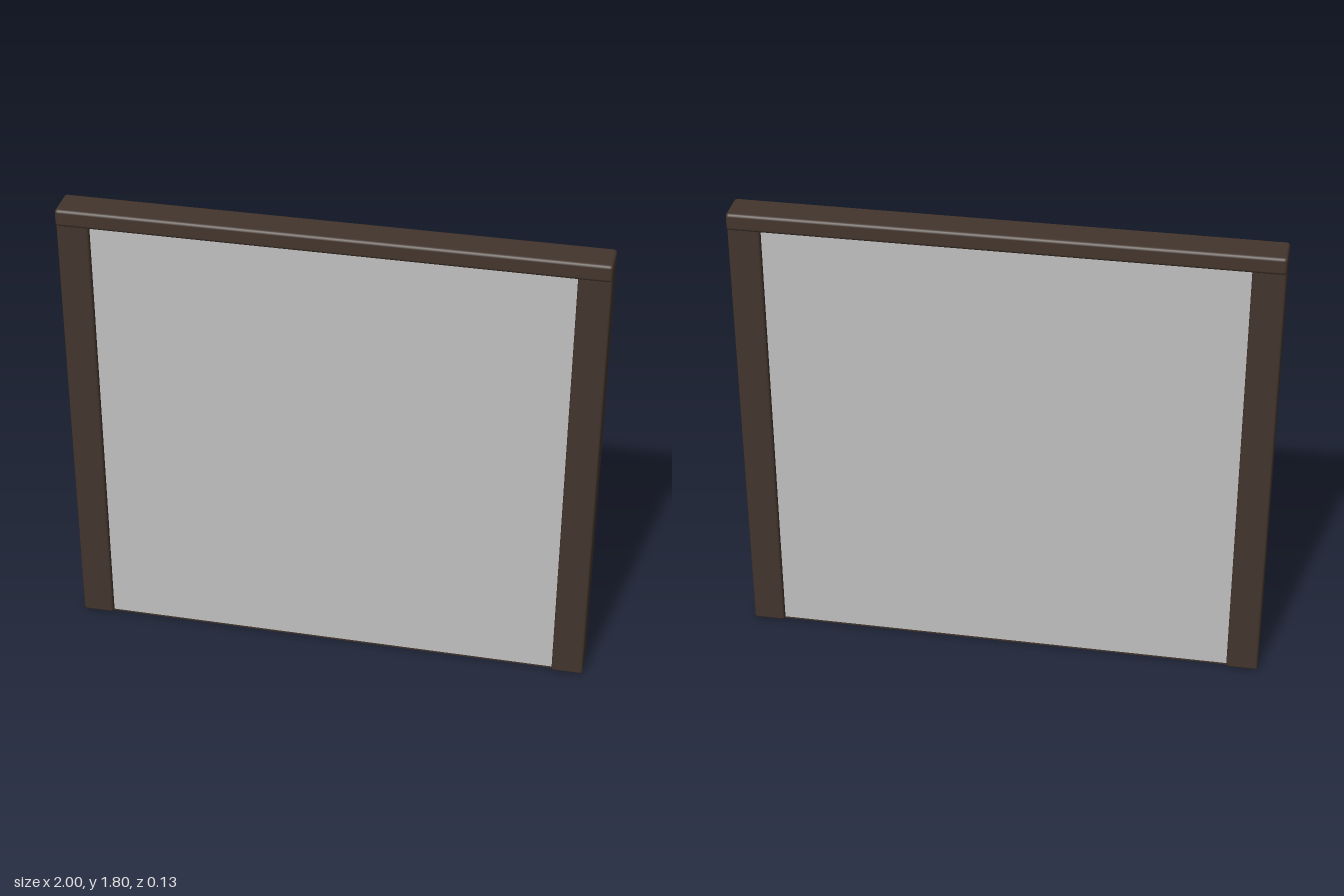
import * as THREE from 'three';
import { RoundedBoxGeometry } from 'three/addons/geometries/RoundedBoxGeometry.js';

export function createModel() {
  const group = new THREE.Group();
  const wood = new THREE.MeshStandardMaterial({ color: 0x43352d });
  wood.name = 'darkBrownWood';
  const pane = new THREE.MeshStandardMaterial({ color: 0xc0c0c0 });
  pane.name = 'lightGreyPanel';

  const add = (name, geometry, material, x, y) => {
    const mesh = new THREE.Mesh(geometry, material);
    mesh.name = name;
    mesh.position.set(x, y, 0);
    group.add(mesh);
  };

  // Upright posts, tops tucked into the rail
  const postHeight = 1.76;
  for (const side of [-1, 1]) {
    add(side > 0 ? 'leftPost' : 'rightPost',
      new RoundedBoxGeometry(0.12, postHeight, 0.116, 2, 0.01), wood, side * 0.94, postHeight / 2);
  }

  // Wider rail across the top
  add('topRail', new RoundedBoxGeometry(2, 0.066, 0.134, 2, 0.012), wood, 0, 1.767);

  // Infill: grey front and back faces, wooden edges
  add('infillPanel', new THREE.BoxGeometry(1.78, 1.74, 0.08),
    [wood, wood, wood, wood, pane, pane], 0, 0.876);

  // Thin sill closing the bottom between the posts
  add('bottomSill', new THREE.BoxGeometry(1.78, 0.006, 0.082), wood, 0, 0.003);

  return group;
}
